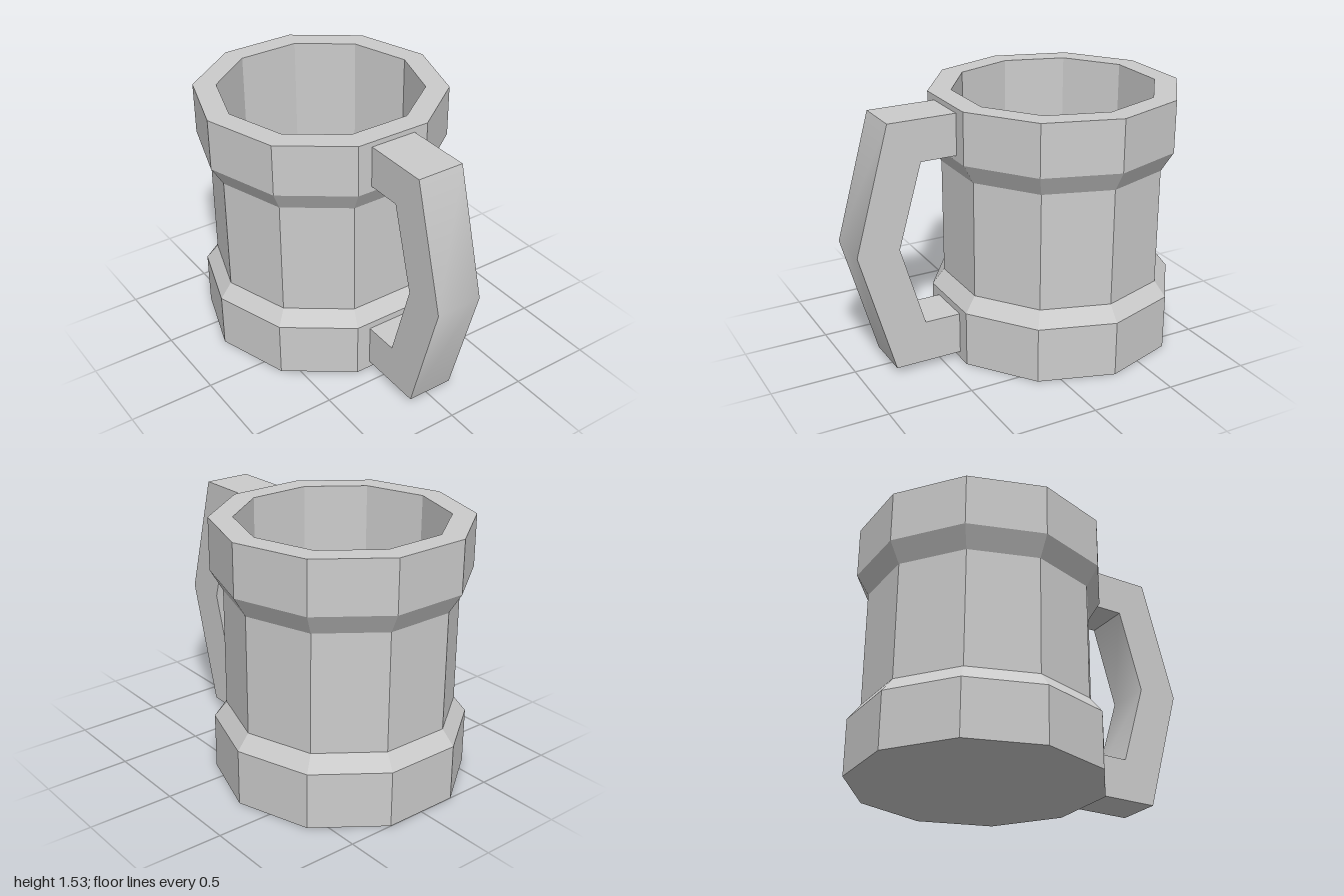
import * as THREE from 'three';
import { toCreasedNormals } from 'three/addons/utils/BufferGeometryUtils.js';

const SIDES = 10;
const CUP_Z = -0.303;

// Ten-sided cup: base, lower band, waist, upper band, rim, inner wall and floor
function createCup() {
  const profile = [
    [0, 0], [0.733, 0], [0.733, 0.33], [0.662, 0.42], [0.662, 1.112],
    [0.733, 1.23], [0.733, 1.535], [0.598, 1.535], [0.598, 0.13], [0, 0.13],
  ].map(([r, y]) => new THREE.Vector2(r, y));
  const geometry = new THREE.LatheGeometry(profile, SIDES, Math.PI / 2);
  const cup = new THREE.Mesh(
    geometry,
    new THREE.MeshStandardMaterial({ color: 0xcccccc, flatShading: true }),
  );
  cup.name = 'cup';
  cup.position.z = CUP_Z;
  return cup;
}

// Angular handle: side outline (z, y) extruded across x, soft at the middle bend
function createHandle() {
  const width = 0.28;
  const outline = [
    [0.385, 0.04], [0.795, 0.04], [1, 0.773], [0.795, 1.505], [0.385, 1.505],
    [0.385, 1.263], [0.608, 1.263], [0.75, 0.773], [0.608, 0.29], [0.385, 0.29],
  ].map(([z, y]) => new THREE.Vector2(z, y));
  const geometry = new THREE.ExtrudeGeometry(new THREE.Shape(outline), {
    depth: width, bevelEnabled: false,
  });
  geometry.translate(0, 0, -width / 2).rotateY(-Math.PI / 2);
  const handle = new THREE.Mesh(
    toCreasedNormals(geometry, THREE.MathUtils.degToRad(40)),
    new THREE.MeshStandardMaterial({ color: 0xcccccc }),
  );
  handle.name = 'handle';
  return handle;
}

export function createModel() {
  const mug = new THREE.Group();
  mug.name = 'mug';
  mug.add(createCup(), createHandle());
  return mug;
}
